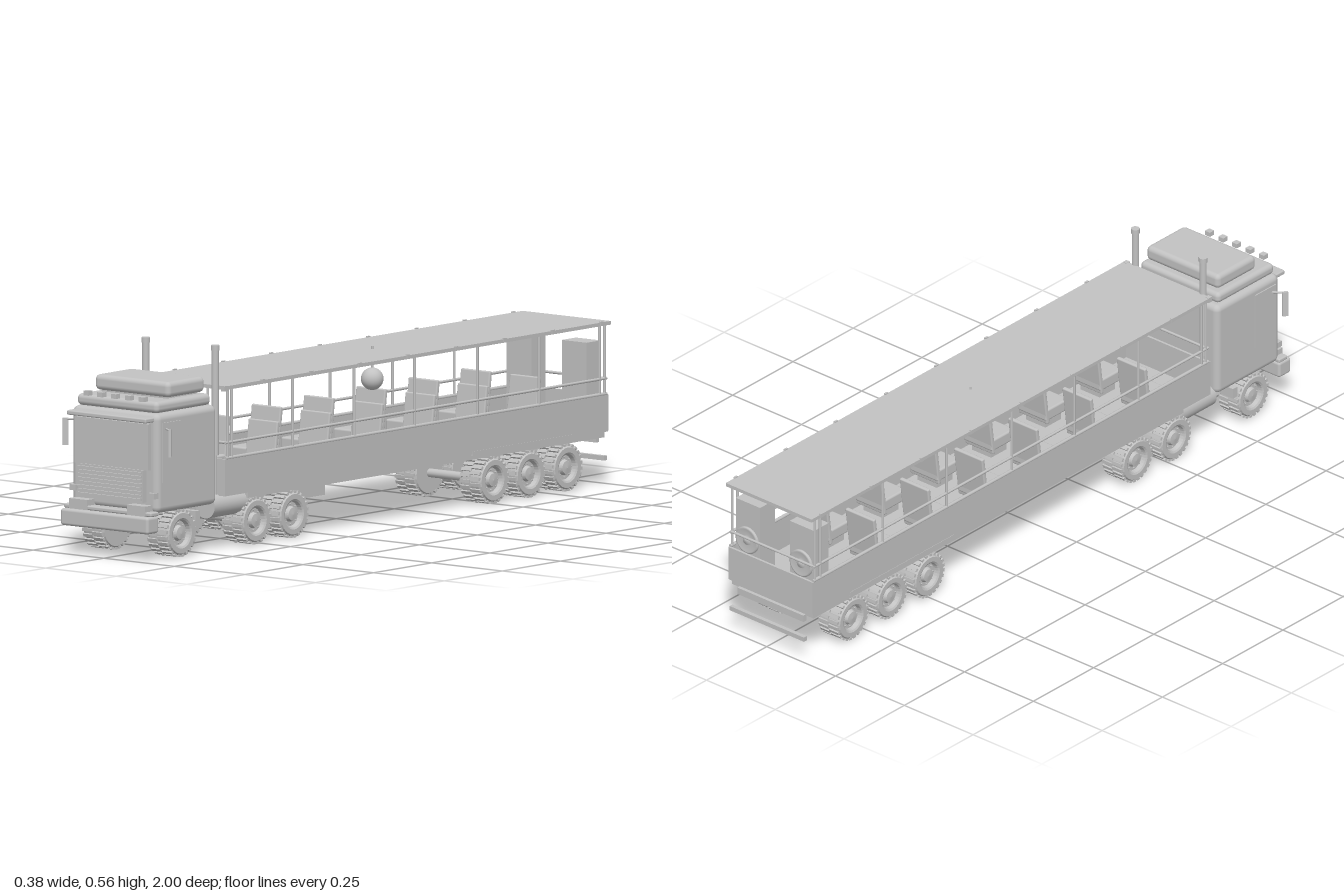
import * as THREE from 'three';
import { RoundedBoxGeometry } from 'three/addons/geometries/RoundedBoxGeometry.js';

export function createModel() {
  const root = new THREE.Group();
  root.name = 'partyTruck';
  const grey = new THREE.MeshStandardMaterial({ color: 0xc2c2c2 });
  grey.name = 'plain grey';

  const group = (name, parent = root) => {
    const g = new THREE.Group();
    g.name = name;
    parent.add(g);
    return g;
  };
  const add = (parent, name, geo, x = 0, y = 0, z = 0) => {
    const m = new THREE.Mesh(geo, grey);
    m.name = name;
    m.position.set(x, y, z);
    parent.add(m);
    return m;
  };
  // Boxes are given by their limits on each axis; r rounds the edges
  const box = (parent, name, [x0, x1], [y0, y1], [z0, z1], r = 0) => {
    const s = [x1 - x0, y1 - y0, z1 - z0];
    const geo = r ? new RoundedBoxGeometry(...s, 3, r) : new THREE.BoxGeometry(...s);
    return add(parent, name, geo, (x0 + x1) / 2, (y0 + y1) / 2, (z0 + z1) / 2);
  };
  const wide = (parent, name, hx, ys, zs, r) => box(parent, name, [-hx, hx], ys, zs, r);
  const rod = (parent, name, a, b, r, sides = 10) => {
    const p = new THREE.Vector3(...a), q = new THREE.Vector3(...b);
    const m = add(parent, name, new THREE.CylinderGeometry(r, r, p.distanceTo(q), sides));
    m.position.copy(p).lerp(q, 0.5);
    m.quaternion.setFromUnitVectors(new THREE.Vector3(0, 1, 0), q.sub(p).normalize());
    return m;
  };
  const SIDES = [1, -1];

  // ---- Cab ----
  const cab = group('cab');
  wide(cab, 'cabBody', 0.153, [0.13, 0.405], [0.695, 0.955], 0.018);
  wide(cab, 'roofLayer', 0.143, [0.405, 0.437], [0.71, 0.945], 0.013);
  wide(cab, 'roofNeck', 0.115, [0.43, 0.45], [0.74, 0.87]);
  wide(cab, 'roofFairing', 0.132, [0.441, 0.484], [0.722, 0.882], 0.014);
  wide(cab, 'windscreen', 0.13, [0.25, 0.378], [0.95, 0.968]);
  wide(cab, 'sunVisor', 0.14, [0.383, 0.396], [0.945, 0.99], 0.004);
  wide(cab, 'grille', 0.115, [0.16, 0.25], [0.95, 0.972]);
  for (let i = 0; i < 8; i++) {
    const y = 0.166 + i * 0.0105;
    wide(cab, 'grilleSlat', 0.112, [y, y + 0.005], [0.97, 0.978]);
  }
  wide(cab, 'bumper', 0.155, [0.078, 0.125], [0.95, 1.0], 0.008);
  wide(cab, 'bumperTop', 0.155, [0.125, 0.137], [0.95, 0.985], 0.004);
  wide(cab, 'bumperStrip', 0.139, [0.094, 0.108], [0.99, 1.0]);
  for (let i = -2; i <= 2; i++) {
    const x = i * 0.049;
    box(cab, 'roofLight', [x - 0.009, x + 0.009], [0.436, 0.449], [0.94, 0.958]);
  }
  for (const s of SIDES) {
    const span = (a, b) => (s > 0 ? [a, b] : [-b, -a]);
    box(cab, 'headlight', span(0.07, 0.135), [0.125, 0.153], [0.95, 0.986]);
    box(cab, 'markerLight', span(0.128, 0.15), [0.172, 0.188], [0.94, 0.966]);
    box(cab, 'doorWindow', span(0.15, 0.156), [0.215, 0.38], [0.85, 0.935]);
    box(cab, 'cornerLight', span(0.143, 0.156), [0.438, 0.453], [0.655, 0.67]);
    // Mirror hanging from a bent arm
    rod(cab, 'mirrorArm', [s * 0.148, 0.362, 0.914], [s * 0.185, 0.362, 0.94], 0.003);
    const mirror = box(cab, 'mirror', span(0.181, 0.188), [0.29, 0.365], [0.932, 0.948]);
    mirror.rotation.y = s * 0.6;
    // Exhaust stack
    rod(cab, 'exhaustStack', [s * 0.123, 0.26, 0.67], [s * 0.123, 0.555, 0.67], 0.01, 20);
    rod(cab, 'exhaustCap', [s * 0.123, 0.55, 0.67], [s * 0.123, 0.564, 0.67], 0.012, 20);
    rod(cab, 'exhaustFoot', [s * 0.123, 0.13, 0.67], [s * 0.123, 0.26, 0.67], 0.005);
    // Fuel tank and step
    rod(cab, 'fuelTank', [s * 0.112, 0.121, 0.7], [s * 0.112, 0.121, 0.515], 0.034, 24);
    box(cab, 'cabStep', span(0.1, 0.148), [0.09, 0.12], [0.765, 0.785]);
  }

  // ---- Tractor frame ----
  const frame = group('tractorFrame');
  wide(frame, 'frameBeam', 0.06, [0.085, 0.115], [0.12, 0.96]);
  wide(frame, 'hitchPlate', 0.055, [0.115, 0.135], [0.36, 0.55]);

  // ---- Wheels: lathed tyre with dished rim, tread blocks and bolts ----
  const R = 0.066, W = 0.037;
  const profile = [
    [0.001, -W], [0.04, -W], [0.056, -W], [0.061, -0.03], [0.061, 0.03], [0.056, W],
    [0.042, W], [0.037, 0.034], [0.034, 0.022], [0.022, 0.022], [0.018, 0.032], [0.001, 0.034],
  ].map(p => new THREE.Vector2(...p));
  const tyreGeo = new THREE.LatheGeometry(profile, 28).toNonIndexed();
  tyreGeo.computeVertexNormals();
  const lugGeo = new THREE.BoxGeometry(0.007, 0.034, 0.009);
  const boltGeo = new THREE.CylinderGeometry(0.0022, 0.0022, 0.006, 6);
  const wheels = group('wheels');
  for (const z of [0.847, 0.525, 0.365, -0.497, -0.653, -0.813]) {
    rod(wheels, 'axle', [-0.1, R, z], [0.1, R, z], 0.012, 14);
    for (const s of SIDES) {
      const wheel = group('wheel', wheels);
      wheel.position.set(s * 0.115, R, z);
      wheel.rotation.z = -s * Math.PI / 2;
      add(wheel, 'tyre', tyreGeo);
      for (let i = 0; i < 48; i++) {
        const a = (i / 48) * Math.PI * 2;
        const lug = add(wheel, 'treadBlock', lugGeo, Math.cos(a) * 0.0622, i % 2 ? 0.017 : -0.017, Math.sin(a) * 0.0622);
        lug.rotation.y = -a;
      }
      for (let i = 0; i < 8; i++) {
        const a = (i / 8) * Math.PI * 2;
        add(wheel, 'wheelBolt', boltGeo, Math.cos(a) * 0.028, 0.024, Math.sin(a) * 0.028);
      }
    }
  }

  // ---- Trailer bed and walls ----
  const trailer = group('trailer');
  wide(trailer, 'chassis', 0.148, [0.132, 0.15], [-0.975, 0.56]);
  wide(trailer, 'floor', 0.153, [0.148, 0.157], [-0.983, 0.665]);
  wide(trailer, 'frontWall', 0.153, [0.15, 0.25], [0.658, 0.665]);
  wide(trailer, 'rearWall', 0.153, [0.15, 0.25], [-0.985, -0.978]);
  wide(trailer, 'roof', 0.156, [0.442, 0.452], [-0.992, 0.665]);
  wide(trailer, 'tailLightBar', 0.12, [0.115, 0.135], [-0.985, -0.972]);
  wide(trailer, 'rearBumper', 0.135, [0.065, 0.078], [-1.0, -0.988]);
  for (const z of [0.655, -0.975]) {
    rod(trailer, 'endRail', [-0.148, 0.295, z], [0.148, 0.295, z], 0.004);
  }
  const posts = [0.65, 0.632, 0.37, 0.105, -0.155, -0.425, -0.69, -0.95, -0.972];
  for (const s of SIDES) {
    const x = s * 0.15;
    box(trailer, 'sideWall', [x - 0.004, x + 0.004], [0.148, 0.25], [-0.983, 0.665]);
    box(trailer, 'lowerRail', [x - 0.005, x + 0.005], [0.143, 0.156], [-0.83, -0.4]);
    rod(trailer, 'wallCap', [x, 0.252, 0.66], [x, 0.252, -0.98], 0.005);
    rod(trailer, 'handRail', [x, 0.295, 0.66], [x, 0.295, -0.98], 0.004);
    for (const z of posts) rod(trailer, 'roofPost', [x, 0.25, z], [x, 0.445, z], 0.004);
    for (let i = 0; i < 8; i++) {
      const z = 0.505 - i * 0.208;
      box(trailer, 'roofMarker', [s * 0.156 - 0.003, s * 0.156 + 0.003], [0.443, 0.455], [z - 0.006, z + 0.006]);
    }
  }

  // ---- Seats: six rows on both sides of the aisle ----
  const seats = group('seats');
  for (let i = 0; i < 6; i++) {
    for (const s of SIDES) {
      const seat = group('seat', seats);
      seat.position.set(s * 0.087, 0.157, 0.425 - i * 0.225);
      wide(seat, 'seatCushion', 0.052, [0.03, 0.065], [0, 0.095], 0.006);
      wide(seat, 'seatBase', 0.035, [0, 0.032], [0.015, 0.08]);
      const back = wide(seat, 'seatBack', 0.052, [0.02, 0.17], [-0.006, 0.006], 0.004);
      back.rotation.x = -0.13;
    }
  }

  // ---- Loudspeakers at the rear ----
  const cone = [[0.04, 0], [0.04, 0.006], [0.035, 0.008], [0.016, 0.002], [0.012, 0.008], [0.001, 0.01]]
    .map(p => new THREE.Vector2(...p));
  const coneGeo = new THREE.LatheGeometry(cone, 24);
  for (const s of SIDES) {
    const speaker = group('loudspeaker');
    speaker.position.x = s * 0.098;
    wide(speaker, 'speakerBox', 0.044, [0.157, 0.4], [-0.966, -0.905]);
    const c = add(speaker, 'speakerCone', coneGeo, 0, 0.285, -0.966);
    c.rotation.x = -Math.PI / 2;
  }

  // ---- Mirror ball under the roof ----
  const ball = group('mirrorBall');
  add(ball, 'ball', new THREE.SphereGeometry(0.031, 24, 16), 0, 0.37, -0.155);
  rod(ball, 'ballRod', [0, 0.395, -0.155], [0, 0.46, -0.155], 0.003);

  return root;
}
